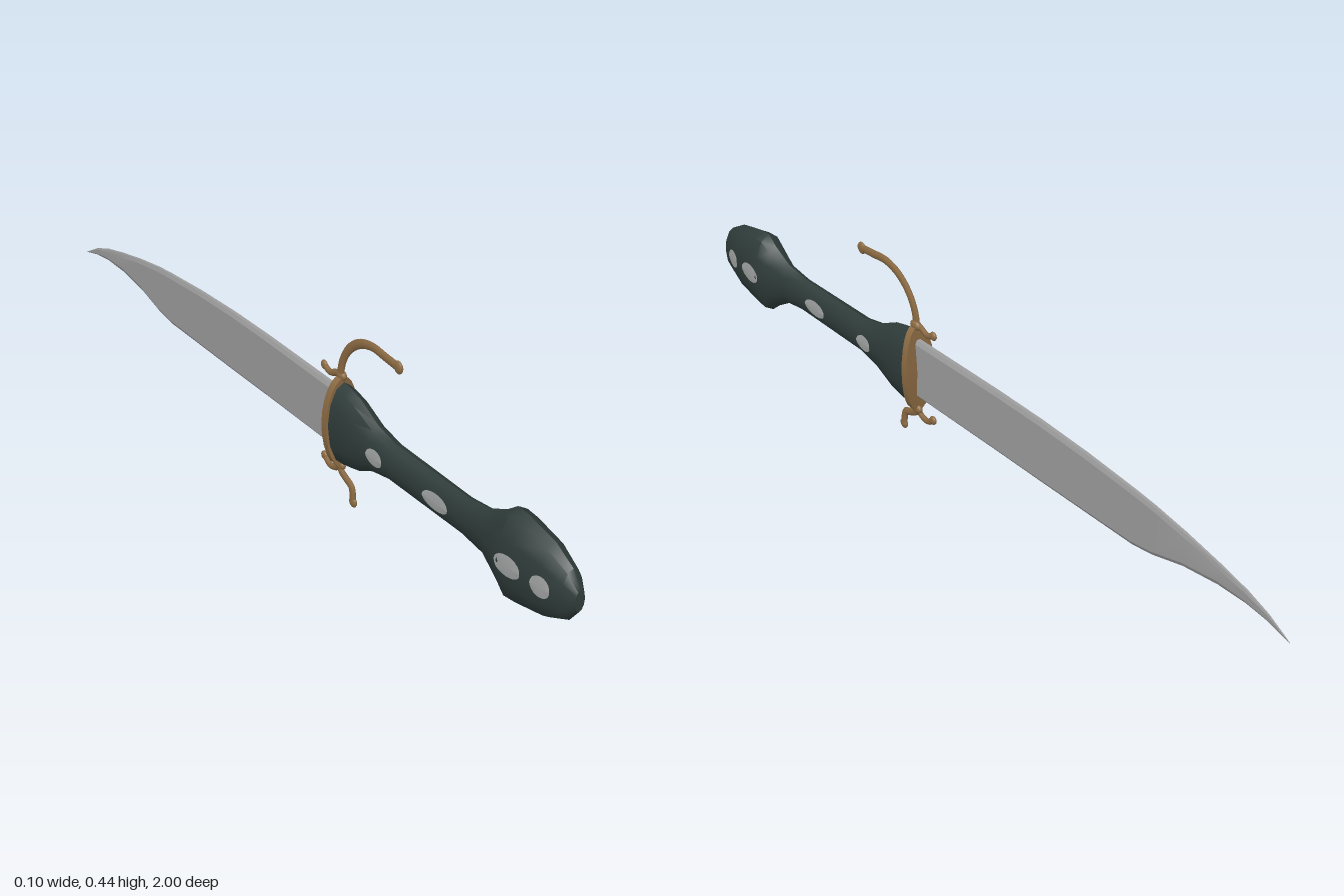
import * as THREE from 'three';
import { toCreasedNormals } from 'three/addons/utils/BufferGeometryUtils.js';

const mat = (name, color) => Object.assign(new THREE.MeshStandardMaterial({ color }), { name });

// Skin a list of equal-length rings (clockwise seen from +z, running towards -z), with capped ends
function loft(rings, crease) {
  const n = rings[0].length, last = (rings.length - 1) * n, index = [];
  for (let i = 0; i < rings.length - 1; i++) {
    for (let j = 0; j < n; j++) {
      const a = i * n + j, b = i * n + (j + 1) % n;
      index.push(a, b, a + n, b, b + n, a + n);
    }
  }
  for (let j = 1; j < n - 1; j++) {
    index.push(0, j + 1, j, last, last + j, last + j + 1);
  }
  const g = new THREE.BufferGeometry();
  g.setAttribute('position', new THREE.Float32BufferAttribute(rings.flat(2), 3));
  g.setIndex(index);
  return toCreasedNormals(g, crease);
}

// Handle sections: z, top, bottom, half width
const HANDLE = [
  [1.0, 0.215, 0.165, 0.012], [0.975, 0.25, 0.132, 0.027], [0.92, 0.28, 0.105, 0.039],
  [0.84, 0.296, 0.088, 0.046], [0.805, 0.298, 0.084, 0.048], [0.775, 0.275, 0.108, 0.041],
  [0.72, 0.247, 0.14, 0.026], [0.65, 0.237, 0.149, 0.024], [0.4, 0.236, 0.149, 0.03],
  [0.335, 0.25, 0.135, 0.032], [0.27, 0.282, 0.103, 0.035], [0.23, 0.292, 0.093, 0.036],
  [0.195, 0.295, 0.09, 0.036],
];

// Interpolated handle section at z
function handleAt(z) {
  const i = Math.max(1, HANDLE.findIndex((s) => s[0] <= z));
  const p = HANDLE[i - 1], q = HANDLE[i], t = (p[0] - z) / (p[0] - q[0]);
  return p.map((v, k) => v + (q[k] - v) * t);
}

// Blade sections: z, top, bottom, half thickness
const BLADE = [
  [0.2, 0.273, 0.117, 0.01], [-0.1, 0.273, 0.115, 0.009], [-0.25, 0.27, 0.113, 0.0085],
  [-0.4, 0.262, 0.112, 0.008], [-0.55, 0.249, 0.111, 0.007], [-0.61, 0.242, 0.119, 0.0065],
  [-0.7, 0.227, 0.142, 0.006], [-0.8, 0.206, 0.154, 0.005], [-0.88, 0.186, 0.154, 0.004],
  [-0.94, 0.164, 0.146, 0.0025], [-1.0, 0.131, 0.13, 0.0005],
];

export function createModel() {
  const group = new THREE.Group();
  const handleMat = mat('dark handle', 0x2f3c3a);
  const steel = mat('steel', 0x9d9d9d);
  const bronze = mat('bronze', 0x8c6b43);
  const inlayMat = mat('pale inlay', 0xa0a4a2);

  const add = (name, geometry, material) => {
    const m = new THREE.Mesh(geometry, material);
    m.name = name;
    group.add(m);
    return m;
  };

  // Grip and bulbous pommel
  const handleRings = HANDLE.map(([z, top, bot, w]) => Array.from({ length: 12 }, (_, j) => {
    const t = j * Math.PI / 6;
    return [w * Math.sin(t), (top + bot) / 2 + (top - bot) / 2 * Math.cos(t), z];
  }));
  add('handle', loft(handleRings, 0.7), handleMat);

  // Oval inlays lying on both sides of the handle: z, half length, half height
  for (const [cz, rz, ry] of [[0.925, 0.025, 0.024], [0.835, 0.038, 0.024], [0.575, 0.042, 0.02], [0.365, 0.028, 0.02]]) {
    for (const side of [1, -1]) {
      const g = new THREE.CircleGeometry(1, 20);
      const p = g.attributes.position;
      for (let i = 0; i < p.count; i++) {
        const z = cz - side * p.getX(i) * rz, dy = p.getY(i) * ry;
        const [, top, bot, w] = handleAt(z);
        const x = w * (1 - 0.268 * Math.abs(dy) / ((top - bot) / 2)) + 0.0015;
        p.setXYZ(i, side * x, (top + bot) / 2 + dy, z);
      }
      g.computeVertexNormals();
      add('handleInlay', g, inlayMat);
    }
  }

  // Blade with bevelled spine and sharpened lower edge
  const bladeRings = BLADE.map(([z, top, bot, w]) => {
    const h = top - bot, up = top - Math.min(0.01, h * 0.2), low = bot + Math.min(0.01, h * 0.2);
    return [[-w * 0.5, top, z], [w * 0.5, top, z], [w, up, z], [w * 0.85, low, z],
      [0, bot, z], [-w * 0.85, low, z], [-w, up, z]];
  });
  add('blade', loft(bladeRings, 0.3), steel);

  // Oval guard plate, bowed slightly towards the blade
  const plate = new THREE.CylinderGeometry(1, 1, 0.018, 24, 1);
  plate.rotateX(Math.PI / 2);
  plate.scale(0.041, 0.113, 1);
  plate.translate(0, 0.193, 0.198);
  const pp = plate.attributes.position;
  for (let i = 0; i < pp.count; i++) {
    pp.setZ(i, pp.getZ(i) - 0.008 * (1 - ((pp.getY(i) - 0.193) / 0.113) ** 2));
  }
  plate.computeVertexNormals();
  add('guardPlate', toCreasedNormals(plate, 0.6), bronze);

  // Flattened quillon arms, each ending in a small knob; points are z, y
  const arms = [
    ['upperQuillon', 0.011, 0.015, [[0.195, 0.29], [0.2, 0.335], [0.222, 0.378], [0.262, 0.412], [0.31, 0.427], [0.36, 0.424], [0.405, 0.421]]],
    ['upperCurl', 0.008, 0.011, [[0.2, 0.315], [0.178, 0.306], [0.155, 0.297], [0.133, 0.305]]],
    ['lowerQuillon', 0.01, 0.013, [[0.195, 0.1], [0.201, 0.073], [0.222, 0.06], [0.244, 0.049], [0.251, 0.014]]],
    ['lowerCurl', 0.008, 0.011, [[0.2, 0.085], [0.18, 0.068], [0.158, 0.064], [0.137, 0.077]]],
  ];
  for (const [name, r, knobR, pts] of arms) {
    const curve = new THREE.CatmullRomCurve3(pts.map(([z, y]) => new THREE.Vector3(0, y, z)));
    const tube = new THREE.TubeGeometry(curve, 24, r, 8);
    tube.scale(0.0055 / r, 1, 1);
    add(name, tube, bronze).position.x = -0.002;
    const knob = new THREE.SphereGeometry(knobR, 12, 8);
    knob.scale(0.006 / knobR, 1, 1);
    const [z, y] = pts[pts.length - 1];
    add(name + 'Knob', knob, bronze).position.set(-0.002, y, z);
  }

  // Collars joining the arms to the plate
  for (const y of [0.307, 0.083]) {
    const collar = new THREE.SphereGeometry(0.018, 12, 8);
    collar.scale(0.5, 0.7, 1);
    add('guardCollar', collar, bronze).position.set(0, y, 0.196);
  }
  return group;
}
